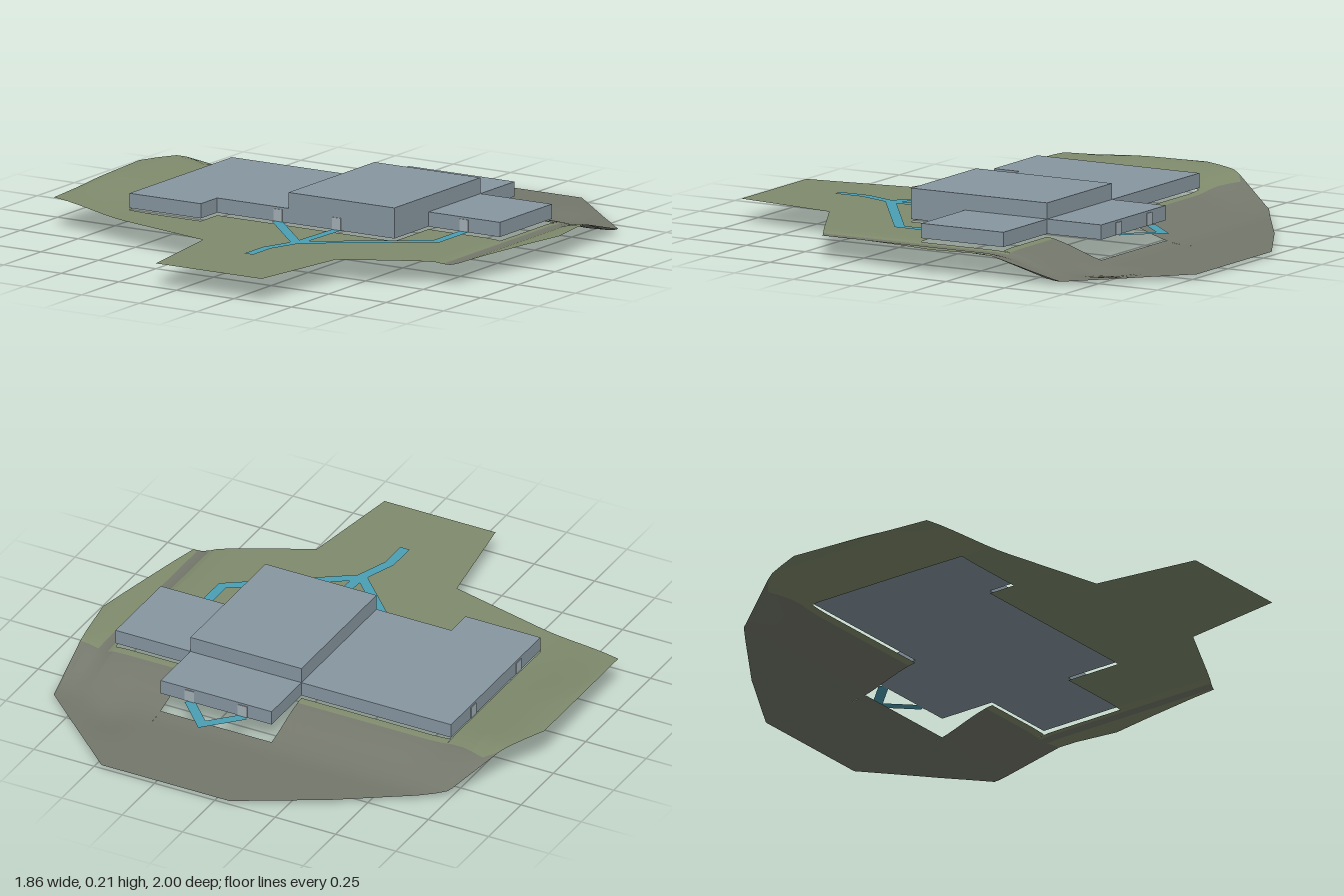
import * as THREE from 'three';
import { mergeVertices } from 'three/addons/utils/BufferGeometryUtils.js';

const material = (name, color, side = THREE.FrontSide) =>
  Object.assign(new THREE.MeshStandardMaterial({ color, side }), { name });

const FLOOR = 0.1;

// Ground outline as a back edge and a front edge, both running along x
const backEdge = [[-0.935, -0.2], [-0.87, -0.35], [-0.74, -0.58], [-0.38, -0.82], [-0.06, -1],
  [0.47, -1], [0.855, -0.65], [0.89, -0.38], [0.925, -0.14]];
const frontEdge = [[-0.935, -0.2], [-0.92, 0.4], [-0.15, 0.59], [-0.09, 1], [0.37, 1],
  [0.43, 0.59], [0.83, 0.38], [0.925, -0.14]];
// Opening under the building: x from, x to, z from, z to
const openings = [[-0.63, -0.32, -0.35, 0.34], [-0.32, -0.01, -0.35, 0.23],
  [-0.01, 0.45, -0.58, 0.23], [0.45, 0.76, -0.35, 0]];
const ditch = [0.775, 0.815];

const smooth = (t) => THREE.MathUtils.smoothstep(t, 0, 1);
const bell = (d, w) => Math.exp(-(d * d) / (w * w));

function edgeZ(edge, x) {
  for (let i = 1; i < edge.length; i++) {
    const [x0, z0] = edge[i - 1], [x1, z1] = edge[i];
    if (x <= x1 + 1e-9) return z0 + (z1 - z0) * (x - x0) / (x1 - x0);
  }
  return edge[edge.length - 1][1];
}

// Plateau with a bank on one side, a drop at the back, a ditch and a small pit
function height(x, z) {
  const drop = smooth((-0.33 - z) / 0.32);
  const bank = 0.045 * smooth((-0.55 - x) / 0.36) * (1 - 0.45 * smooth(z / 0.4));
  const groove = 0.012 * bell(x - 0.795, 0.035) + 0.006 * smooth((x - 0.82) / 0.1) * -1;
  const pit = 0.015 * bell(Math.hypot(x - 0.61, z + 0.69), 0.08);
  return 0.09 + (bank - groove) * (1 - drop) - 0.075 * drop - pit;
}

function groundMesh(grass, rock) {
  const stops = [...backEdge, ...frontEdge].map((p) => p[0])
    .concat(openings.flatMap((o) => [o[0], o[1]]), ditch);
  for (let x = -0.9; x < 0.92; x += 0.05) stops.push(x);
  const xs = stops.sort((a, b) => a - b).filter((x, i, a) => i === 0 || x - a[i - 1] > 1e-4);

  const grassPos = [], rockPos = [], rows = 14;
  const rockLine = (x) => -0.38 - 0.05 * smooth((-0.65 - x) / 0.2);

  // One patch between two columns, a and b being [z from, z to] on each column
  const patch = (out, x0, a, x1, b) => {
    if (a[1] - a[0] < 1e-6 && b[1] - b[0] < 1e-6) return;
    const point = (x, span, t) => {
      const z = span[0] + (span[1] - span[0]) * t;
      return [x, height(x, z), z];
    };
    for (let i = 0; i < rows; i++) {
      const t0 = i / rows, t1 = (i + 1) / rows;
      const p = point(x0, a, t0), q = point(x0, a, t1), r = point(x1, b, t1), s = point(x1, b, t0);
      out.push(...p, ...q, ...r, ...p, ...r, ...s);
    }
  };

  for (let i = 1; i < xs.length; i++) {
    const cols = [xs[i - 1], xs[i]], mid = (cols[0] + cols[1]) / 2;
    const hole = openings.find((o) => mid > o[0] && mid < o[1]);
    const inDitch = mid > ditch[0] && mid < ditch[1];
    const spans = cols.map((x) => {
      const z0 = edgeZ(backEdge, x), z1 = edgeZ(frontEdge, x);
      return hole ? [[z0, hole[2]], [hole[3], z1]] : [[z0, z1]];
    });
    spans[0].forEach((_, k) => {
      const pair = spans.map((s) => s[k]);
      const cut = pair.map((s, j) => THREE.MathUtils.clamp(rockLine(cols[j]), s[0], s[1]));
      patch(rockPos, cols[0], [pair[0][0], cut[0]], cols[1], [pair[1][0], cut[1]]);
      patch(inDitch ? rockPos : grassPos, cols[0], [cut[0], pair[0][1]], cols[1], [cut[1], pair[1][1]]);
    });
  }

  let geo = new THREE.BufferGeometry();
  geo.setAttribute('position', new THREE.Float32BufferAttribute([...grassPos, ...rockPos], 3));
  geo = mergeVertices(geo, 1e-5);
  geo.computeVertexNormals();
  geo.addGroup(0, grassPos.length / 3, 0);
  geo.addGroup(grassPos.length / 3, rockPos.length / 3, 1);
  return new THREE.Mesh(geo, [grass, rock]);
}

export function createModel() {
  const model = new THREE.Group();
  const grass = material('grass', 0x7f8a6c, THREE.DoubleSide);
  const rock = material('rock', 0x74776b, THREE.DoubleSide);
  const wall = material('wall', 0x8796a0);
  const doorMat = material('door', 0xa3b0b6);
  const pathMat = material('path', 0x4b9fb3, THREE.DoubleSide);

  const add = (mesh, name) => {
    mesh.name = name;
    model.add(mesh);
    return mesh;
  };

  add(groundMesh(grass, rock), 'ground');

  // Building blocks, extruded upwards from their plans
  const block = (name, plan, top) => {
    const shape = new THREE.Shape(plan.map(([x, z]) => new THREE.Vector2(x, -z)));
    const geo = new THREE.ExtrudeGeometry(shape, { depth: top - FLOOR, bevelEnabled: false });
    geo.rotateX(-Math.PI / 2).translate(0, FLOOR, 0);
    add(new THREE.Mesh(geo, wall), name);
  };
  const rect = (x0, x1, z0, z1) => [[x0, z1], [x1, z1], [x1, z0], [x0, z0]];
  block('mainHall', rect(-0.01, 0.45, -0.35, 0.23), 0.215);
  block('backWing', rect(-0.01, 0.45, -0.58, -0.35), 0.155);
  block('smallWing', rect(0.45, 0.76, -0.35, 0), 0.155);
  block('largeWing', [[-0.63, 0.34], [-0.32, 0.34], [-0.32, 0.23], [-0.01, 0.23],
    [-0.01, -0.35], [-0.63, -0.35]], 0.155);

  // Doors as thin plates: x, z, and whether they face sideways
  const doors = [[-0.055, 0.23], [0.2, 0.23], [0.605, 0], [0.11, -0.58], [0.33, -0.58],
    [-0.63, -0.18, true], [-0.63, 0.17, true]];
  for (const [x, z, sideways] of doors) {
    const door = add(new THREE.Mesh(new THREE.BoxGeometry(0.038, 0.046, 0.006), doorMat), 'door');
    door.position.set(x, FLOOR + 0.024, z);
    if (sideways) door.rotation.y = Math.PI / 2;
  }

  // Walkways: flat ribbons with mitred bends
  const walkway = (name, points, width = 0.038) => {
    const pts = points.map(([x, z]) => new THREE.Vector2(x, -z));
    const left = [], right = [];
    pts.forEach((p, i) => {
      const dirIn = pts[Math.max(i, 1)].clone().sub(pts[Math.max(i, 1) - 1]).normalize();
      const j = Math.min(i + 1, pts.length - 1);
      const dirOut = pts[j].clone().sub(pts[j - 1]).normalize();
      const tangent = dirIn.clone().add(dirOut).normalize();
      const side = new THREE.Vector2(-tangent.y, tangent.x)
        .multiplyScalar(width / 2 / tangent.dot(dirIn));
      left.push(p.clone().add(side));
      right.unshift(p.clone().sub(side));
    });
    const geo = new THREE.ShapeGeometry(new THREE.Shape([...left, ...right]));
    geo.rotateX(-Math.PI / 2).translate(0, FLOOR + 0.001, 0);
    add(new THREE.Mesh(geo, pathMat), name);
  };
  walkway('entrancePath', [[0.2, 0.23], [0.19, 0.47], [0.14, 0.61], [0.14, 0.73]]);
  walkway('largeWingPath', [[-0.06, 0.23], [0.185, 0.48]]);
  walkway('smallWingPath', [[0.605, 0], [0.605, 0.185], [0.18, 0.48]]);
  walkway('backPath', [[0.1, -0.58], [0.215, -0.7], [0.33, -0.58]]);

  return model;
}
